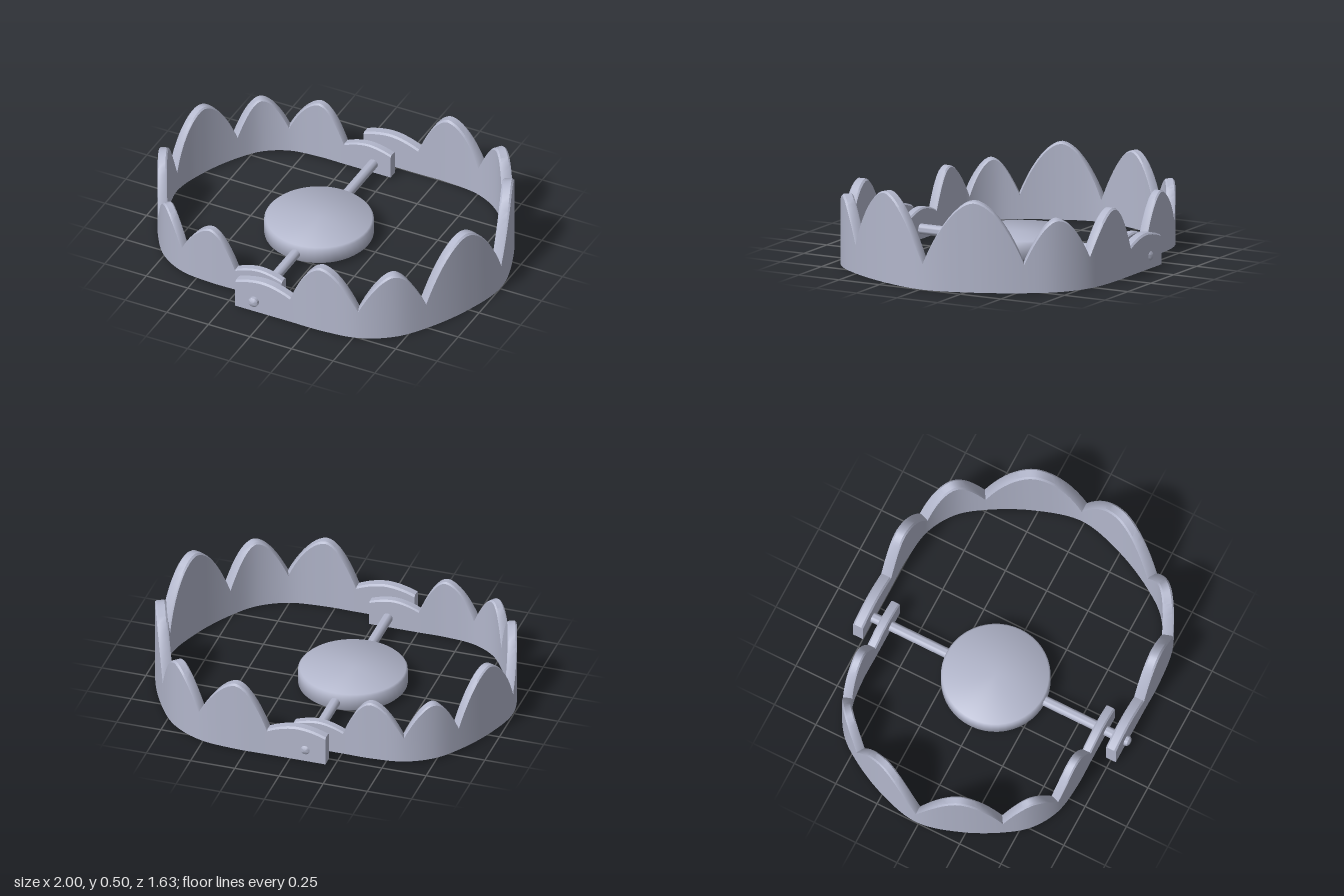
import * as THREE from 'three';
import { toCreasedNormals } from 'three/addons/utils/BufferGeometryUtils.js';

const steel = new THREE.MeshStandardMaterial({ color: 0xb2b6cb });
steel.name = 'steel';

// Half of the jaw, from pivot end to middle: x, z, height of each tooth tip or notch
const half = [
  [-0.2, 0.765, 0.165], [-0.04, 0.765, 0.2], [0.13, 0.765, 0.155], [0.31, 0.765, 0.405],
  [0.515, 0.737, 0.18], [0.675, 0.645, 0.4], [0.785, 0.505, 0.165], [0.905, 0.265, 0.5],
];
const middle = [0.97, 0, 0.15];
const keys = [...half, middle, ...half.slice().reverse().map(([x, z, h]) => [x, -z, h])];

// A bent band whose top edge rises in leaf-shaped teeth
function jawGeometry() {
  const path = new THREE.CatmullRomCurve3(keys.map(([x, z]) => new THREE.Vector3(x, 0, z)));
  const steps = 10, spans = keys.length - 1, n = steps * spans;
  const w = 0.03, bevel = 0.01;

  const heightAt = (i) => {
    const k = Math.min(Math.floor(i / steps), spans - 1);
    const t = i / steps - k;
    const a = keys[k][2], b = keys[k + 1][2];
    const lo = Math.min(a, b), up = b > a ? t : 1 - t;
    return lo + Math.abs(b - a) * (1 - Math.pow(1 - up, 1.8));
  };

  const pos = [], idx = [], m = 6;
  for (let i = 0; i <= n; i++) {
    const p = path.getPoint(i / n), d = path.getTangent(i / n), h = heightAt(i);
    // Section runs up the outside, over the bevelled top and down the inside
    const section = [
      [w, 0], [w, h - bevel], [w - bevel, h], [bevel - w, h], [-w, h - bevel], [-w, 0],
    ];
    for (const [o, y] of section) pos.push(p.x - d.z * o, y, p.z + d.x * o);
  }
  for (let i = 0; i < n; i++) {
    for (let j = 0; j < m; j++) {
      const a = i * m + j, b = i * m + (j + 1) % m, c = a + m, e = b + m;
      idx.push(a, c, b, b, c, e);
    }
  }
  // End caps
  for (let j = 1; j < m - 1; j++) {
    idx.push(0, j, j + 1, n * m, n * m + j + 1, n * m + j);
  }
  const g = new THREE.BufferGeometry();
  g.setAttribute('position', new THREE.Float32BufferAttribute(pos, 3));
  g.setIndex(idx);
  return toCreasedNormals(g, 0.6);
}

export function createModel() {
  const model = new THREE.Group();
  model.name = 'jawTrap';
  const add = (geometry, name) => {
    const mesh = new THREE.Mesh(geometry, steel);
    mesh.name = name;
    model.add(mesh);
    return mesh;
  };

  // Large jaw, and a smaller copy turned to face it
  const jaw = jawGeometry();
  add(jaw, 'largeJaw').position.z = -0.015;
  const small = add(jaw, 'smallJaw');
  small.scale.setScalar(0.85);
  small.rotation.y = Math.PI;
  small.position.set(-0.15, 0.01, -0.015);

  // Hinge pin through all four jaw ends, with softened tips
  const r = 0.028, l = 0.815;
  const pinProfile = [[0, -l], [r * 0.6, -l + 0.002], [r, -l + 0.012], [r, l - 0.012], [r * 0.6, l - 0.002], [0, l]];
  const pin = add(toCreasedNormals(
    new THREE.LatheGeometry(pinProfile.map(([x, y]) => new THREE.Vector2(x, y)), 24), 0.8), 'hingePin');
  pin.rotation.x = Math.PI / 2;
  pin.position.set(-0.085, 0.068, -0.005);

  // Round trigger plate with a softened rim
  const plateProfile = [[0, -0.05], [0.285, -0.05], [0.295, -0.04], [0.295, 0.04], [0.285, 0.05], [0, 0.05]];
  const plate = add(toCreasedNormals(
    new THREE.LatheGeometry(plateProfile.map(([x, y]) => new THREE.Vector2(x, y)), 48), 0.8), 'triggerPlate');
  plate.position.set(-0.09, 0.07, -0.003);

  return model;
}
